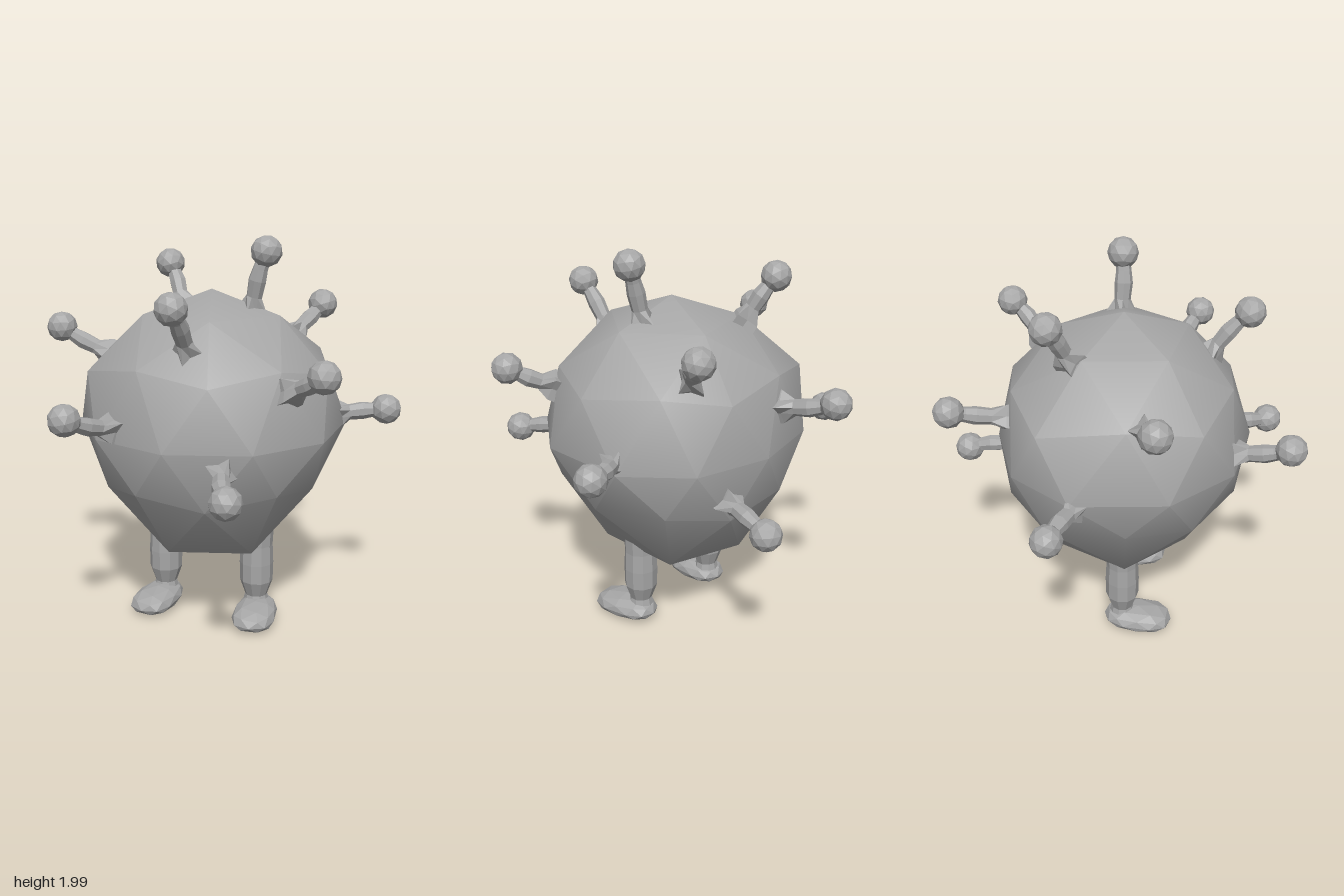
import * as THREE from 'three';
import { mergeVertices } from 'three/addons/utils/BufferGeometryUtils.js';

const grey = new THREE.MeshStandardMaterial({ color: 0xa6a6a6 });
grey.name = 'grey';

// Faceted copy of a geometry
function faceted(geo) {
  const g = geo.index ? geo.toNonIndexed() : geo;
  g.computeVertexNormals();
  return g;
}

function part(name, geo) {
  const mesh = new THREE.Mesh(geo, grey);
  mesh.name = name;
  return mesh;
}

// Once-divided icosahedron turned so that a corner is the pole
function poleIcosphere() {
  const g = new THREE.IcosahedronGeometry(1, 1);
  const t = (1 + Math.sqrt(5)) / 2;
  const y = new THREE.Vector3(1, t, 0).normalize();
  const v = new THREE.Vector3(-1, t, 0).normalize();
  const x = v.addScaledVector(y, -v.dot(y)).normalize();
  const z = new THREE.Vector3().crossVectors(x, y);
  return g.applyMatrix4(new THREE.Matrix4().makeBasis(x, y, z).transpose());
}

// Move every vertex by a rule (x, y, z) => [x, y, z]
function reshape(geo, rule) {
  const p = geo.attributes.position;
  for (let k = 0; k < p.count; k++) p.setXYZ(k, ...rule(p.getX(k), p.getY(k), p.getZ(k)));
  return geo;
}

// Lathe with [radius, height] points
function turned(points, sides) {
  return new THREE.LatheGeometry(points.map(p => new THREE.Vector2(...p)), sides);
}

// Body: coarse ball with a fuller back, a tapering underside and softened facets
function makeBody() {
  let g = poleIcosphere();
  g.deleteAttribute('uv');
  g.deleteAttribute('normal');
  g = mergeVertices(g, 1e-3);
  reshape(g, (x, y, z) => {
    if (z < -0.01 && y < 0.7) z = -0.985 * Math.pow(-z, 0.75);
    if (y < -0.4 && y > -0.6) return [x * 0.94, y + 0.12, z * 1.02]; // lower ring
    if (y > 0.4 && y < 0.5 && x < 0) return [x * 1.06, y, z * 1.04]; // upper shoulders
    if (y > 0.8 && y < 0.95) return [x, y * 0.98, z]; // crown ring
    if (Math.abs(y) < 0.1) return [x, y + 0.025, z]; // waist
    return [x, y, z];
  });
  g.scale(0.672, 0.695, 0.648);
  g.computeVertexNormals();
  g = g.toNonIndexed();
  const soft = g.attributes.normal.clone();
  g.computeVertexNormals();
  const n = g.attributes.normal, a = new THREE.Vector3(), b = new THREE.Vector3();
  for (let k = 0; k < n.count; k++) {
    a.fromBufferAttribute(n, k).lerp(b.fromBufferAttribute(soft, k), 0.5).normalize();
    n.setXYZ(k, a.x, a.y, a.z);
  }
  const body = part('body', g);
  body.position.set(0, 1.038, 0.02);
  return body;
}

// Stem with a knob on its end; it wobbles a little and its root splays into prongs
function makeSpike(base, tip, i) {
  const spike = new THREE.Group();
  spike.name = 'spike';
  const a = new THREE.Vector3(...base), b = new THREE.Vector3(...tip);
  const dir = b.clone().sub(a), len = dir.length();
  dir.normalize();
  const geo = turned([
    [0.065, -0.08], [0.062, -0.01], [0.04, len * 0.22], [0.045, len * 0.5],
    [0.038, len * 0.7], [0.032, len],
  ], 8);
  reshape(geo, (x, y, z) => {
    const bend = 0.012 * Math.sin(Math.PI * THREE.MathUtils.clamp(y / len, 0, 1));
    const splay = y < 0 ? 1 + 0.3 * Math.cos(4 * Math.atan2(x, z)) : 1;
    return [x * splay + bend * Math.cos(i * 2.4), y, z * splay + bend * Math.sin(i * 2.4)];
  });
  const stem = part('spikeStem', faceted(geo));
  stem.position.copy(a);
  stem.quaternion.setFromUnitVectors(new THREE.Vector3(0, 1, 0), dir);
  const knob = part('spikeKnob', faceted(poleIcosphere()));
  knob.scale.setScalar(0.078);
  knob.position.copy(b);
  knob.quaternion.copy(stem.quaternion);
  spike.add(stem, knob);
  return spike;
}

// Leg and foot; side is +1 or -1
function makeLeg(side) {
  const leg = new THREE.Group();
  leg.name = side > 0 ? 'leftLeg' : 'rightLeg';
  const shin = part('shin', faceted(turned([
    [0.075, 0.07], [0.058, 0.14], [0.072, 0.18], [0.086, 0.22], [0.088, 0.32],
    [0.083, 0.42], [0.088, 0.52],
  ], 10)));
  shin.position.set(side * 0.258 - 0.012, 0, 0.01);
  // Foot: flattened ball with blunt rims, wider at the toe
  const blunt = v => Math.sign(v) * Math.pow(Math.abs(v), 0.8);
  const g = reshape(poleIcosphere(), (x, y, z) => [
    blunt(x) * 0.112 * (1 + 0.1 * z), y * (y > 0 ? 0.068 : 0.054), blunt(z) * 0.18,
  ]);
  const foot = part('foot', faceted(g));
  foot.position.set(side * 0.276 - 0.007, 0.063, 0.094);
  foot.rotation.set(0.04, side * 0.12, 0);
  leg.add(shin, foot);
  return leg;
}

export function createModel() {
  const model = new THREE.Group();
  model.name = 'spikyBallCreature';
  model.add(makeBody());

  // Spikes: [base, knob centre]
  const spikes = [
    [[-0.27, 1.62, -0.24], [-0.37, 1.82, -0.33]],
    [[0.21, 1.64, 0.01], [0.28, 1.922, 0.02]],
    [[0.04, 1.49, 0.45], [0.04, 1.71, 0.63]],
    [[0.31, 1.47, -0.41], [0.42, 1.61, -0.55]],
    [[-0.55, 1.4, 0.1], [-0.78, 1.52, 0.14]],
    [[0.52, 1.325, 0.35], [0.69, 1.42, 0.455]],
    [[-0.31, 1.13, 0.57], [-0.415, 1.21, 0.8]],
    [[0.61, 1.1, -0.2], [0.83, 1.12, -0.3]],
    [[-0.61, 1.02, -0.22], [-0.835, 1.015, -0.335]],
    [[0.26, 0.97, 0.58], [0.365, 0.92, 0.82]],
    [[-0.17, 1.26, -0.57], [-0.23, 1.32, -0.82]],
    [[0.2, 0.87, -0.56], [0.25, 0.82, -0.815]],
  ];
  spikes.forEach(([base, tip], i) => model.add(makeSpike(base, tip, i)));

  for (const side of [1, -1]) model.add(makeLeg(side));
  return model;
}
